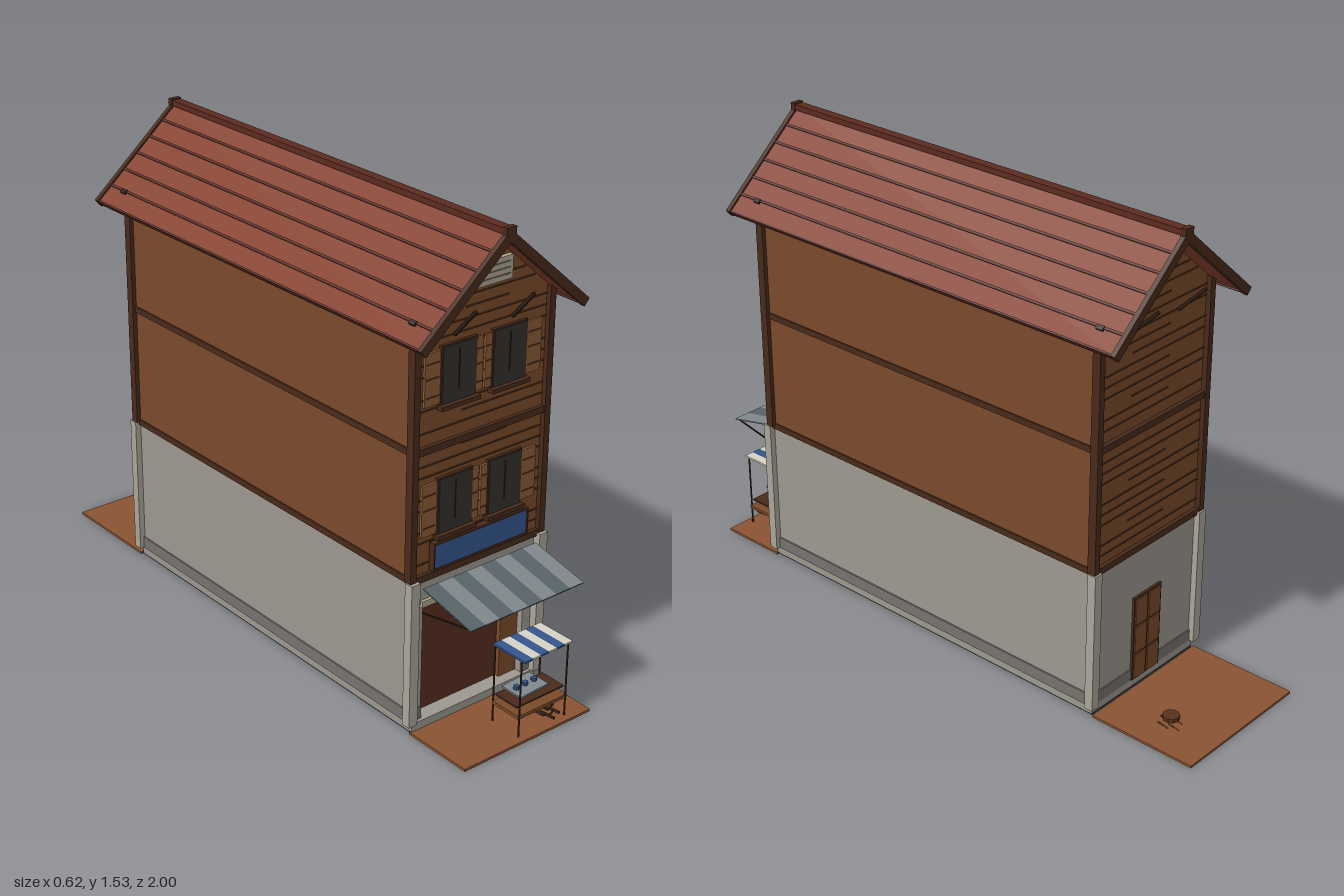
import * as THREE from 'three';

const C = { wood: 0x7a4a2a, dark: 0x482a1a, plank: 0x55331e, shutter: 0x8a5a36, roof: 0x84402e, rib: 0x5c2a20,
  stone: 0x9c988f, pillar: 0xaaa698, plinth: 0x76736e, under: 0x454443, glass: 0x35312c, blue: 0x34568f,
  cream: 0xb0a78f, ground: 0x8a5433, inner: 0x552d1e, awnA: 0x596469, awnB: 0x7f888c, black: 0x2a1c14, white: 0xd6d2c4 };
const mats = {};
const mat = c => mats[c] ??= new THREE.MeshStandardMaterial({ color: C[c], side: THREE.DoubleSide, flatShading: true });

export function createModel() {
  const root = new THREE.Group();
  root.name = 'townShop';
  const add = (name, geo, color, parent = root) => {
    const m = new THREE.Mesh(geo, mat(color));
    m.name = name;
    parent.add(m);
    return m;
  };
  // box given by its limits on each axis
  const box = (name, color, x0, x1, y0, y1, z0, z1, parent = root) => {
    const m = add(name, new THREE.BoxGeometry(x1 - x0, y1 - y0, z1 - z0), color, parent);
    m.position.set((x0 + x1) / 2, (y0 + y1) / 2, (z0 + z1) / 2);
    return m;
  };
  // thin bar between two points
  const bar = (name, color, a, b, t, parent = root) => {
    const A = new THREE.Vector3(...a), B = new THREE.Vector3(...b);
    const m = add(name, new THREE.BoxGeometry(t, t, A.distanceTo(B)), color, parent);
    m.position.copy(A).lerp(B, 0.5);
    m.lookAt(B);
    return m;
  };
  const group = name => {
    const g = new THREE.Group();
    g.name = name;
    root.add(g);
    return g;
  };
  const sides = [-1, 1];

  // ground slabs
  box('frontYard', 'ground', -0.25, 0.25, 0.026, 0.034, 0.76, 1);
  box('backYard', 'ground', -0.25, 0.25, 0.026, 0.034, -1, -0.63);

  // ground floor with shop opening in the front
  box('floor', 'under', -0.245, 0.245, 0.03, 0.034, -0.625, 0.755);
  box('floorStep', 'stone', -0.245, 0.245, 0.034, 0.06, -0.622, 0.765);
  box('lowerWalls', 'stone', -0.245, 0.245, 0.06, 0.53, -0.62, 0.70);
  for (const s of sides) {
    const a = s < 0 ? -0.245 : 0.2;
    box('frontWall', 'stone', a, a + 0.045, 0.06, 0.53, 0.70, 0.75);
    box('sidePlinth', 'plinth', s * 0.247 - 0.003, s * 0.247 + 0.003, 0.06, 0.1, -0.622, 0.752);
    box('frontPlinth', 'plinth', a, a + 0.045, 0.06, 0.1, 0.749, 0.754);
    box('backPlinth', 'plinth', s < 0 ? -0.245 : 0.06, s < 0 ? -0.07 : 0.245, 0.06, 0.1, -0.624, -0.62);
    for (const [z0, z1] of [[0.745, 0.775], [-0.64, -0.61]])
      box('cornerPillar', 'pillar', s * 0.249 - 0.016, s * 0.249 + 0.016, 0.06, 0.53, z0, z1);
  }
  box('lintelWall', 'stone', -0.2, 0.2, 0.43, 0.53, 0.70, 0.75);
  box('lintelTrim', 'cream', -0.21, 0.21, 0.435, 0.455, 0.75, 0.76);
  box('shopDoor', 'inner', -0.2, 0.13, 0.06, 0.43, 0.70, 0.715);
  box('shopDoorLeaf', 'wood', 0.13, 0.2, 0.06, 0.43, 0.70, 0.73);

  // back door
  box('backDoorFrame', 'dark', -0.07, 0.06, 0.06, 0.355, -0.628, -0.62);
  for (const x of [-0.063, 0.0])
    for (const [y0, y1] of [[0.065, 0.15], [0.158, 0.25], [0.258, 0.347]])
      box('backDoorPanel', 'wood', x, x + 0.054, y0, y1, -0.632, -0.626);

  // upper floors with gables
  const S = new THREE.Shape([[-0.247, 0.53], [0.247, 0.53], [0.247, 1.31], [0, 1.53], [-0.247, 1.31]]
    .map(p => new THREE.Vector2(...p)));
  const upper = add('upperWalls', new THREE.ExtrudeGeometry(S, { depth: 1.365, bevelEnabled: false }), 'wood');
  upper.position.z = -0.617;
  for (const s of sides) {
    for (const z of [-0.62, 0.75])
      box('cornerPost', 'dark', s * 0.25 - 0.011, s * 0.25 + 0.011, 0.53, 1.31, z - 0.014, z + 0.014);
    for (const y of [0.53, 0.93])
      box('sideBeam', 'dark', s * 0.248 - 0.004, s * 0.248 + 0.004, y - 0.01, y + 0.01, -0.62, 0.75);
  }
  for (const z of [-0.62, 0.75])
    for (const y of [0.53, 0.93])
      box('endBeam', 'dark', -0.25, 0.25, y - 0.011, y + 0.011, z - 0.01, z + 0.01);

  // plank seams on both gable ends
  for (const z of [-0.618, 0.749])
    for (let i = 0; i < 25; i++) {
      const y = 0.57 + i * 0.034;
      const half = Math.min(0.24, (1.52 - y) / 0.89);
      if (Math.abs(y - 0.93) < 0.015) continue;
      box('plankSeam', 'plank', -half * (i % 3 === 1 ? 0.3 : 1), half * (i % 4 === 2 ? 0.4 : 1), y, y + 0.004, z - 0.002, z + 0.002);
    }

  // windows with sills and shutters
  for (const y of [0.65, 1.05])
    for (const s of sides) {
      const w = group('window');
      const x = s * 0.095;
      box('windowFrame', 'dark', x - 0.066, x + 0.066, y, y + 0.18, 0.748, 0.757, w);
      box('windowGlass', 'glass', x - 0.06, x + 0.06, y + 0.005, y + 0.175, 0.755, 0.759, w);
      box('windowMullion', 'black', x - 0.002, x + 0.002, y + 0.04, y + 0.16, 0.757, 0.761, w);
      box('windowSill', 'dark', x - 0.072, x + 0.072, y - 0.009, y + 0.004, 0.748, 0.772, w);
      for (const [c, h] of [[s * 0.19, 0.028], [s * 0.016, 0.012]]) {
        box('shutter', 'shutter', c - h, c + h, y + 0.01, y + 0.17, 0.748, 0.756, w);
        for (const d of [0.035, 0.09, 0.135])
          box('shutterSlat', 'plank', c - h * 0.8, c + h * 0.8, y + d, y + d + 0.004, 0.755, 0.758, w);
      }
    }

  // plain sign board and gable vent
  box('signBoard', 'blue', -0.178, 0.178, 0.555, 0.63, 0.755, 0.77);
  for (const y of [0.548, 0.63]) box('signFrame', 'dark', -0.183, 0.183, y, y + 0.007, 0.752, 0.773);
  for (const x of [-0.183, 0.178]) box('signFrame', 'dark', x, x + 0.005, 0.55, 0.635, 0.752, 0.773);
  box('gableVent', 'cream', -0.09, 0.09, 1.37, 1.44, 0.748, 0.762);
  for (const y of [1.385, 1.403, 1.421]) box('ventSlot', 'plinth', -0.08, 0.08, y, y + 0.004, 0.76, 0.764);

  // roof slopes with ribs, verge boards and ridge
  const slope = Math.atan2(0.27, 0.31), len = 0.405;
  for (const s of sides) {
    const r = group('roofSlope');
    r.position.set(0, 1.545, 0.06);
    r.rotation.z = -s * slope;
    const across = (name, color, a, b, y0, y1, z0, z1) =>
      box(name, color, Math.min(s * a, s * b), Math.max(s * a, s * b), y0, y1, z0, z1, r);
    across('roofPanel', 'roof', 0, len, -0.016, 0, -0.775, 0.775);
    for (let i = 1; i < 6; i++) across('roofRib', 'rib', i * 0.067, i * 0.067 + 0.008, -0.002, 0.004, -0.775, 0.775);
    for (const z of [-0.775, 0.775]) across('vergeBoard', 'dark', 0, len + 0.004, -0.022, 0.006, z - 0.008, z + 0.008);
    across('eaveBoard', 'rib', len - 0.004, len + 0.002, -0.02, 0.003, -0.775, 0.775);
    for (const z of [-0.69, 0.69]) across('roofHook', 'black', 0.335, 0.35, 0, 0.007, z - 0.012, z + 0.012);
    // struts under the overhang
    for (const [z0, z1] of [[0.75, 0.83], [-0.62, -0.71]])
      bar('roofStrut', 'black', [s * 0.108, 1.25, z0], [s * 0.108, 1.34, z1], 0.01);
  }
  box('ridge', 'rib', -0.016, 0.016, 1.538, 1.556, -0.72, 0.84);
  for (const z of [-0.715, 0.835]) box('ridgeEnd', 'dark', -0.018, 0.018, 1.53, 1.56, z - 0.009, z + 0.009);

  // striped awning with stays
  const awning = group('awning');
  for (let i = 0; i < 8; i++) {
    const x = -0.22 + (i + 0.5) * 0.055;
    const m = add('awningStripe', new THREE.BoxGeometry(0.055, 0.004, 0.206), i % 2 ? 'awnB' : 'awnA', awning);
    m.position.set(x, 0.483, 0.872);
    m.rotation.x = 0.22;
  }
  for (const s of sides) bar('awningStay', 'black', [s * 0.21, 0.42, 0.76], [s * 0.21, 0.459, 0.97], 0.004, awning);

  // market stall: striped canopy, posts, counter and goods
  const stall = group('stall');
  for (let i = 0; i < 6; i++)
    box('canopyStripe', i % 2 ? 'white' : 'blue', -0.02 + i * 0.0317, -0.02 + (i + 1) * 0.0317, 0.288, 0.294, 0.857, 0.99, stall);
  for (const x of [-0.018, 0.168])
    for (const z of [0.865, 0.975]) box('stallPost', 'dark', x - 0.002, x + 0.002, 0.034, 0.29, z - 0.002, z + 0.002, stall);
  box('counter', 'wood', -0.022, 0.175, 0.093, 0.104, 0.865, 0.975, stall);
  box('shelf', 'dark', -0.02, 0.17, 0.126, 0.131, 0.875, 0.965, stall);
  const tray = box('tray', 'awnB', 0, 0.11, 0.15, 0.156, 0.88, 0.96, stall);
  tray.rotation.z = 0.05;
  for (const x of [0.02, 0.055, 0.09]) {
    const b = add('goods', new THREE.CylinderGeometry(0.009, 0.009, 0.012, 8), 'blue', stall);
    b.position.set(x, 0.161, 0.92);
  }

  // round stools
  for (const [x, y, z] of [[0.125, 0.005, -0.83], [0.11, 0.034, 0.95]]) {
    const st = group('stool');
    st.position.set(x, y, z);
    const seat = add('stoolSeat', new THREE.CylinderGeometry(0.027, 0.027, 0.013, 10), 'plank', st);
    seat.position.y = 0.055;
    for (let i = 0; i < 4; i++) {
      const a = i * Math.PI / 2 + 0.4, c = Math.cos(a), d = Math.sin(a);
      bar('stoolLeg', 'dark', [c * 0.03, 0, d * 0.03], [c * 0.018, 0.052, d * 0.018], 0.007, st);
    }
    const ring = add('stoolRing', new THREE.TorusGeometry(0.024, 0.003, 5, 10), 'dark', st);
    ring.rotation.x = Math.PI / 2;
    ring.position.y = 0.025;
  }
  return root;
}
